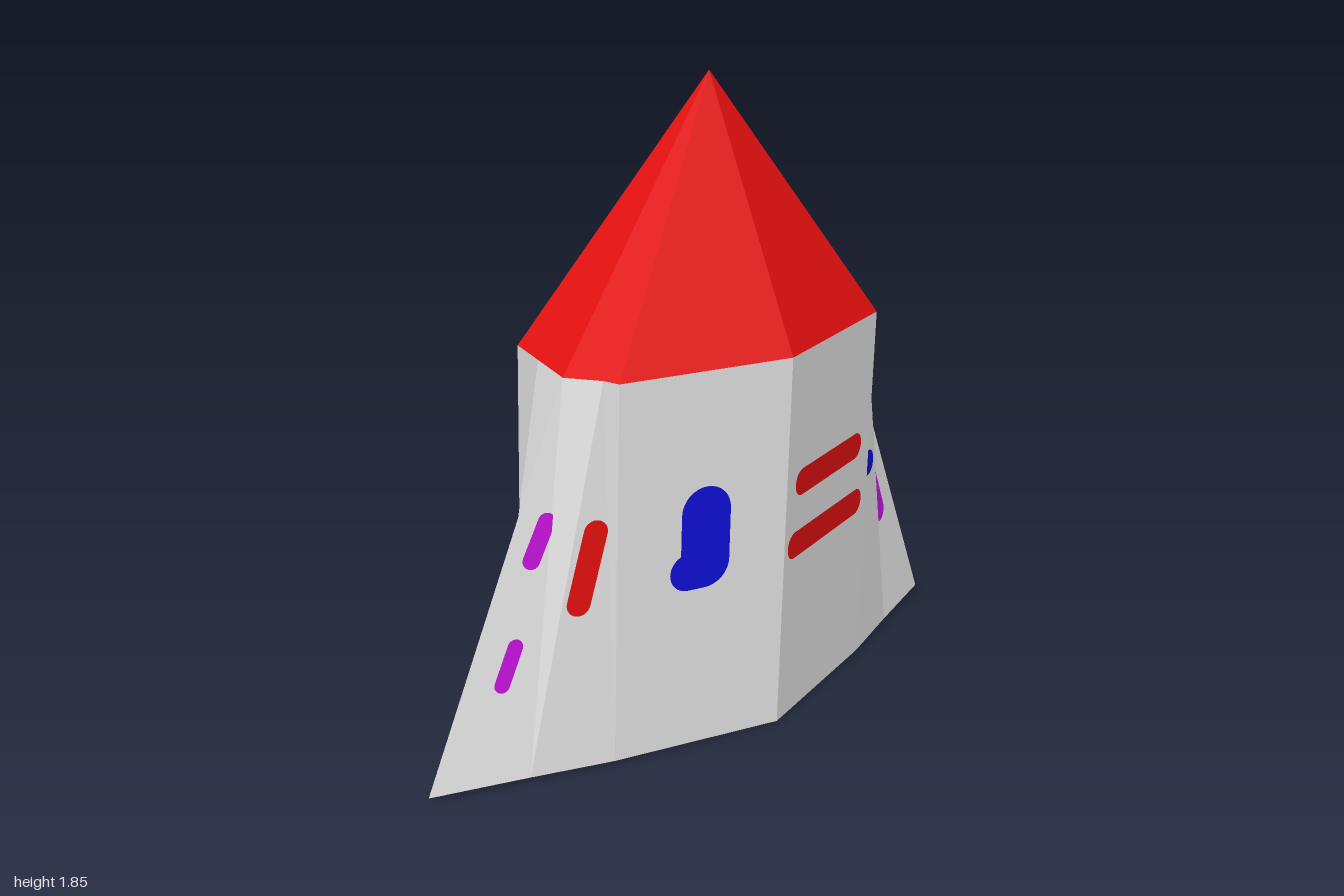
import * as THREE from 'three';

const V = (x, y, z) => new THREE.Vector3(x, y, z);
const paint = (name, color) => {
  const m = new THREE.MeshStandardMaterial({ color });
  m.name = name;
  return m;
};

// Corners of the left half; the right half is mirrored from these.
const floorY = (z) => 0.0175 - 0.048 * z;
const low = (x, z) => V(x, floorY(z), z);
const P = {
  apex: V(0, 1.85, 0.06),
  // eave, front to back
  F: V(0, 1.112, 0.39), A: V(0.5, 1.115, 0.25), B: V(0.511, 1.115, 0.2), C: V(0.54, 1.1, 0.07),
  D: V(0.518, 1.115, -0.06), E: V(0.5, 1.128, -0.17), K: V(0, 1.135, -0.35),
  // foot, front to back
  f: low(0, 0.35), a: low(0.5, 0.21), b: low(0.73, 0.125), c: low(1, 0.03),
  d: low(0.73, -0.06), e: low(0.5, -0.205), k: low(0, -0.39),
};
const corner = (key, side) => {
  const p = P[key].clone();
  p.x *= side;
  return p;
};

// Flat-faced mesh from triangles named by their corners
function facets(name, material, triangles, sides) {
  const points = [];
  for (const side of sides) {
    for (const tri of triangles) {
      const t = tri.map((key) => corner(key, side));
      if (side < 0) t.reverse();
      points.push(...t);
    }
  }
  const geometry = new THREE.BufferGeometry().setFromPoints(points);
  geometry.computeVertexNormals();
  const mesh = new THREE.Mesh(geometry, material);
  mesh.name = name;
  return mesh;
}

// Round-ended brush mark lying on the panel through three corners; ends given as [x, y]
function brushMark(name, material, panel, start, end, radius) {
  const side = start[0] < 0 ? -1 : 1;
  const t = panel.split('').map((key) => corner(key, side));
  if (side < 0) t.reverse();
  const plane = new THREE.Plane().setFromCoplanarPoints(...t);
  const n = plane.normal;
  const onPanel = ([x, y]) => V(x, y, -(plane.constant + n.x * x + n.y * y) / n.z);
  const p = onPanel(start);
  const q = onPanel(end);
  const half = p.distanceTo(q) / 2;

  const shape = new THREE.Shape();
  shape.absarc(half, 0, radius, -Math.PI / 2, Math.PI / 2, false);
  shape.absarc(-half, 0, radius, Math.PI / 2, Math.PI * 1.5, false);
  const mesh = new THREE.Mesh(new THREE.ShapeGeometry(shape, 8), material);
  const u = q.clone().sub(p).normalize();
  const basis = new THREE.Matrix4().makeBasis(u, n.clone().cross(u), n);
  mesh.quaternion.setFromRotationMatrix(basis);
  mesh.position.copy(p).add(q).multiplyScalar(0.5).addScaledVector(n, 0.004);
  mesh.name = name;
  return mesh;
}

export function createModel() {
  const group = new THREE.Group();
  group.name = 'tent';

  const wall = paint('wall grey', 0xe6e6e6);
  const red = paint('red', 0xe81010);
  const blue = paint('blue', 0x1010dc);
  const purple = paint('purple', 0xc412dc);
  const ochre = paint('ochre', 0xdc9c12);

  // Roof
  group.add(facets('roof', red, [
    ['apex', 'F', 'A'], ['apex', 'A', 'C'], ['apex', 'C', 'E'], ['apex', 'E', 'K'],
  ], [1, -1]));

  // Walls and the pleated side wings
  const tris = (list) => list.map((s) => s.split(''));
  group.add(facets('frontWall', wall, tris(['Ffa', 'FaA']), [1, -1]));
  group.add(facets('backWall', wall, tris(['Eek', 'EkK']), [1, -1]));
  const pleats = tris(['AaB', 'Bab', 'BbC', 'Cbc', 'Ccd', 'CdD', 'Dde', 'DeE']);
  group.add(facets('leftWing', wall, pleats, [1]));
  group.add(facets('rightWing', wall, pleats, [-1]));

  // Floor
  group.add(facets('floor', blue, tris(['fkc', 'fcb', 'fba', 'ckd', 'dke']).map((t) => {
    // every floor face looks down
    const [p, q, r] = t.map((key) => P[key]);
    const up = q.clone().sub(p).cross(r.clone().sub(p)).y > 0;
    return up ? [t[0], t[2], t[1]] : t;
  }), [1, -1]));

  // Painted marks: name, colour, panel, start, end, radius
  const marks = [
    ['frontDoor', blue, 'Ffa', [-0.245, 0.71], [-0.245, 0.56], 0.075],
    ['frontDoorFoot', blue, 'Ffa', [-0.295, 0.54], [-0.25, 0.54], 0.055],
    ['frontStripe', red, 'Ffa', [0.08, 0.725], [0.4, 0.725], 0.04],
    ['frontStripe', red, 'Ffa', [0.05, 0.54], [0.42, 0.54], 0.04],
    ['leftDot', blue, 'Bab', [0.535, 0.615], [0.55, 0.615], 0.04],
    ['rightStripe', red, 'Bab', [-0.54, 0.7], [-0.59, 0.5], 0.034],
    ['leftWingMark', purple, 'Cbc', [0.67, 0.54], [0.73, 0.38], 0.038],
    ['rightWingMark', purple, 'Cbc', [-0.62, 0.72], [-0.67, 0.62], 0.025],
    ['rightWingMark', purple, 'Cbc', [-0.735, 0.39], [-0.78, 0.29], 0.022],
    ['backStripe', ochre, 'Eek', [0.05, 0.68], [0.4, 0.68], 0.043],
    ['backStripe', ochre, 'Eek', [0.05, 0.445], [0.4, 0.445], 0.043],
    ['backWindow', purple, 'Eek', [-0.285, 0.62], [-0.285, 0.49], 0.085],
    ['backWingMark', purple, 'Dde', [0.55, 0.575], [0.59, 0.575], 0.038],
    ['backWingMark', purple, 'Ccd', [0.635, 0.62], [0.69, 0.45], 0.042],
    ['backRightStripe', ochre, 'Dde', [-0.54, 0.74], [-0.59, 0.46], 0.034],
    ['backRightStripe', ochre, 'Dde', [-0.515, 0.6], [-0.52, 0.42], 0.02],
    ['backRightMark', purple, 'Ccd', [-0.61, 0.77], [-0.65, 0.62], 0.025],
    ['backRightMark', purple, 'Ccd', [-0.69, 0.42], [-0.72, 0.3], 0.02],
    ['backRightMark', purple, 'Ccd', [-0.78, 0.34], [-0.83, 0.24], 0.02],
  ];
  for (const mark of marks) group.add(brushMark(...mark));

  return group;
}
